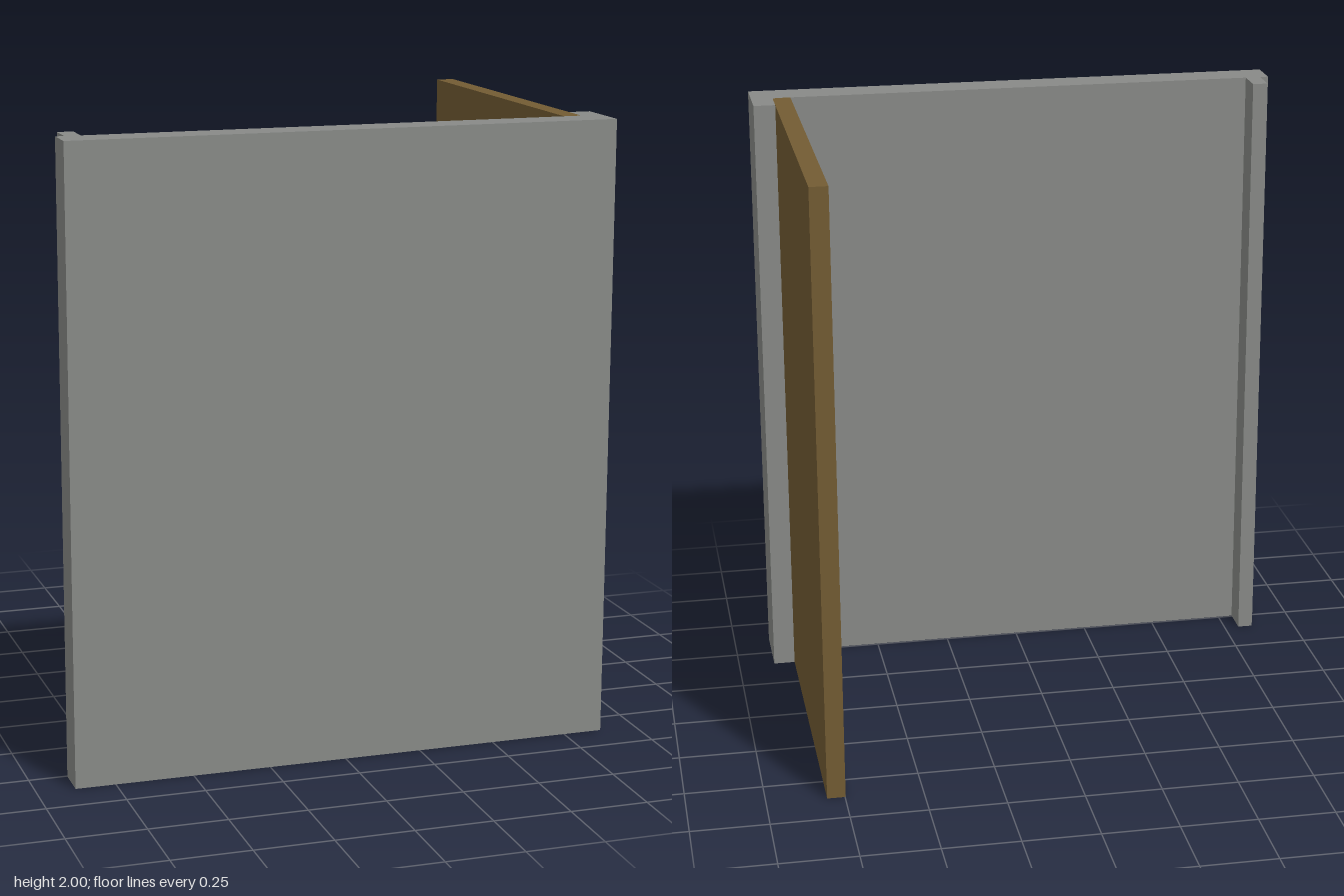
import * as THREE from 'three';

const HEIGHT = 2;

// Upright prism from a plan outline of [x, z] points.
function prism(name, outline, material) {
  const shape = new THREE.Shape(outline.map(([x, z]) => new THREE.Vector2(x, -z)));
  const geometry = new THREE.ExtrudeGeometry(shape, { depth: HEIGHT, bevelEnabled: false });
  geometry.rotateX(-Math.PI / 2);
  const mesh = new THREE.Mesh(geometry, material);
  mesh.name = name;
  return mesh;
}

export function createModel() {
  const grey = new THREE.MeshStandardMaterial({ color: 0x888a87 });
  grey.name = 'grey';
  const brown = new THREE.MeshStandardMaterial({ color: 0x735c33 });
  brown.name = 'brown';

  const model = new THREE.Group();
  model.name = 'panelCorner';

  // Front panel with a narrow tongue at one end and a return lip at the other
  model.add(prism('frontPanel', [
    [-0.878, 0.616], [0.878, 0.616], [0.878, 0.407], [0.807, 0.407],
    [0.807, 0.495], [0.797, 0.505], [-0.8, 0.505], [-0.8, 0.407],
    [-0.85, 0.407], [-0.85, 0.505], [-0.878, 0.505],
  ], grey));

  // Side board seated against the lip, with its inner corner chamfered
  model.add(prism('sideBoard', [
    [0.748, 0.505], [0.797, 0.505], [0.807, 0.495],
    [0.807, -0.616], [0.748, -0.616],
  ], brown));

  return model;
}
